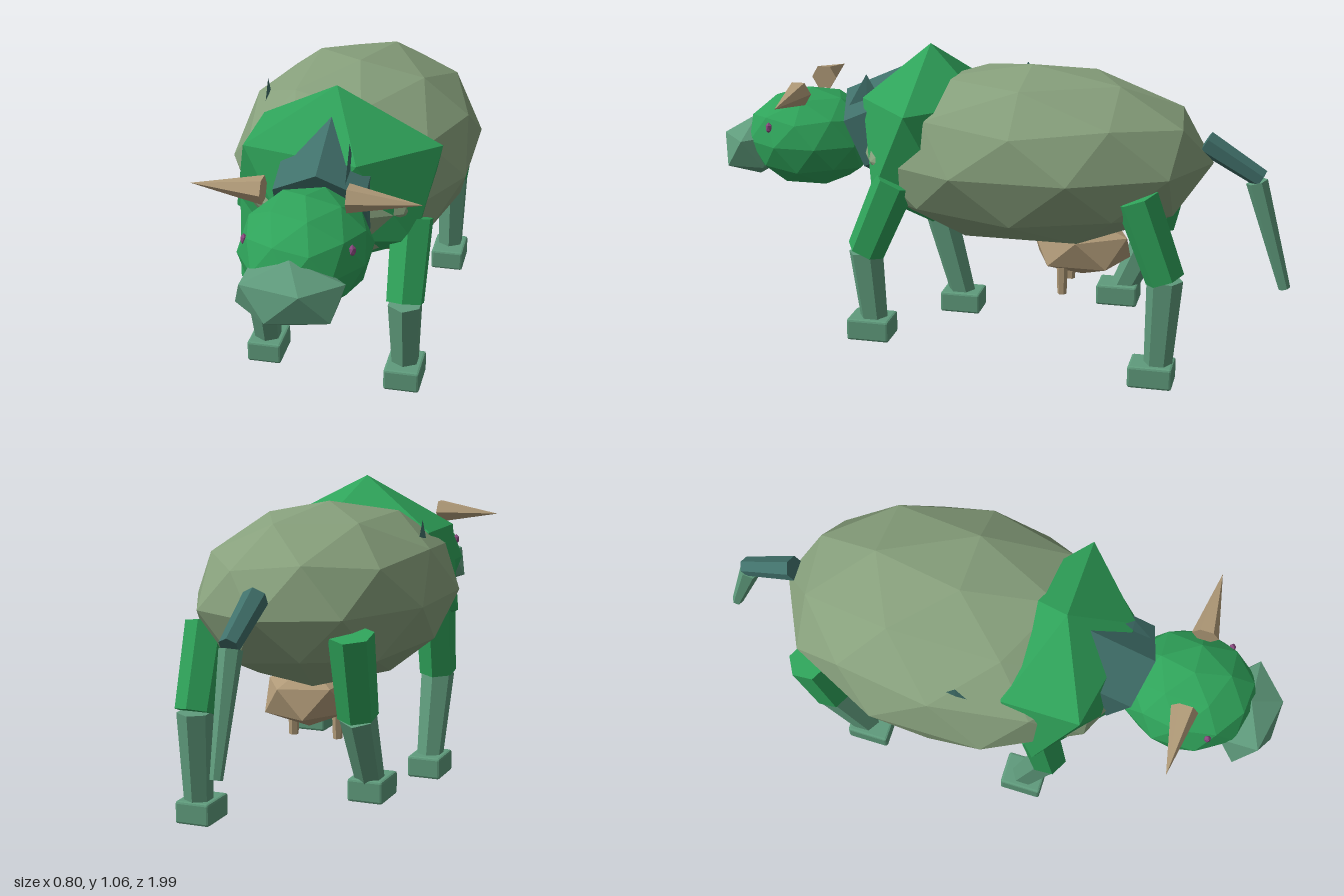
import * as THREE from 'three';
import { RoundedBoxGeometry } from 'three/addons/geometries/RoundedBoxGeometry.js';

const mat = (color) => new THREE.MeshStandardMaterial({ color, flatShading: true });
const GREEN = mat(0x2fa35a), HIDE = mat(0x87a07c), SAGE = mat(0x5f9b7c);
const TEAL = mat(0x40706a), TAN = mat(0xb09a78), EYE = mat(0x8a4a80);

// Icosphere with a vertex at the top and bottom poles
function icosphere(detail) {
  const v = [0, 1, 0], f = [];
  for (const [y, shift] of [[1, 0], [-1, 0.5]]) {
    for (let k = 0; k < 5; k++) {
      const a = (k + shift) * Math.PI * 0.4;
      v.push(0.8944 * Math.cos(a), 0.4472 * y, -0.8944 * Math.sin(a));
    }
  }
  v.push(0, -1, 0);
  for (let k = 0; k < 5; k++) {
    const n = (k + 1) % 5;
    f.push(0, 1 + k, 1 + n, 1 + k, 6 + k, 1 + n, 6 + k, 6 + n, 1 + n, 11, 6 + n, 6 + k);
  }
  return new THREE.PolyhedronGeometry(v, f, 1, detail);
}

export function createModel() {
  const model = new THREE.Group();
  const add = (name, geometry, material, pos) => {
    const mesh = new THREE.Mesh(geometry, material);
    mesh.name = name;
    mesh.position.set(...pos);
    model.add(mesh);
    return mesh;
  };
  const blob = (name, detail, material, pos, radii) =>
    add(name, icosphere(detail).scale(...radii), material, pos);

  // Tapered six-sided segment from point a to point b
  const limb = (name, material, a, b, ra, rb) => {
    const A = new THREE.Vector3(...a), B = new THREE.Vector3(...b);
    const dir = B.clone().sub(A), len = dir.length();
    const mid = A.add(B).multiplyScalar(0.5);
    const mesh = add(name, new THREE.CylinderGeometry(rb, ra, len, 6), material, mid.toArray());
    mesh.quaternion.setFromUnitVectors(new THREE.Vector3(0, 1, 0), dir.normalize());
    return mesh;
  };

  // Trunk, shoulders, neck and head
  blob('body', 1, HIDE, [0, 0.7, -0.1], [0.42, 0.305, 0.62]);
  blob('shoulders', 0, GREEN, [0, 0.74, 0.255], [0.386, 0.32, 0.25]);
  limb('neck', TEAL, [0, 0.86, 0.2], [0, 0.73, 0.49], 0.17, 0.17);
  blob('head', 1, GREEN, [0, 0.71, 0.69], [0.208, 0.175, 0.235]);
  blob('snout', 0, SAGE, [0, 0.667, 0.895], [0.188, 0.11, 0.123]);

  for (const s of [1, -1]) {
    const side = s > 0 ? 'left' : 'right';
    limb(side + 'Horn', TAN, [s * 0.13, 0.89, 0.69], [s * 0.357, 0.89, 0.69], 0.045, 0);
    blob(side + 'Eye', 0, EYE, [s * 0.165, 0.772, 0.79], [0.012, 0.02, 0.012]);
    limb(side + 'Teat', TAN, [s * 0.08, 0.36, -0.225], [s * 0.08, 0.222, -0.225], 0.021, 0.016);
  }

  // Thin upright ears
  for (const [name, x, y, z] of [['leftEar', 0.085, 0.89, 0.46], ['rightEar', -0.303, 0.875, -0.02]]) {
    add(name, new THREE.ConeGeometry(0.08, 0.14, 4).scale(0.08, 1, 1), TEAL, [x, y, z]);
  }

  // Udder and two-part tail
  blob('udder', 0, TAN, [0, 0.378, -0.28], [0.16, 0.107, 0.19]);
  limb('tailBase', TEAL, [0, 0.77, -0.69], [0, 0.655, -0.88], 0.042, 0.033);
  limb('tailEnd', SAGE, [0, 0.645, -0.865], [0, 0.275, -0.975], 0.037, 0.02);

  // Legs in a walking pose: hip, knee, ankle as [y, z], then the hoof centre
  const legs = [
    ['leftFront', 1, [0.645, 0.31], [0.39, 0.42], [0.13, 0.395], [0.117, 0.405]],
    ['rightFront', -1, [0.65, 0.25], [0.36, 0.295], [0.06, 0.215], [0.038, 0.215]],
    ['leftRear', 1, [0.64, -0.5], [0.37, -0.6], [0.06, -0.585], [0.038, -0.565]],
    ['rightRear', -1, [0.65, -0.56], [0.38, -0.5], [0.13, -0.385], [0.117, -0.37]],
  ];
  for (const [name, s, hip, knee, ankle, hoof] of legs) {
    const x = s * 0.26;
    limb(name + 'Thigh', GREEN, [x, ...hip], [x, ...knee], 0.073, 0.066);
    limb(name + 'Shin', SAGE, [x, ...knee], [x, ...ankle], 0.06, 0.047);
    add(name + 'Hoof', new RoundedBoxGeometry(0.12, 0.076, 0.148, 1, 0.008), SAGE, [x, ...hoof]);
  }
  return model;
}
